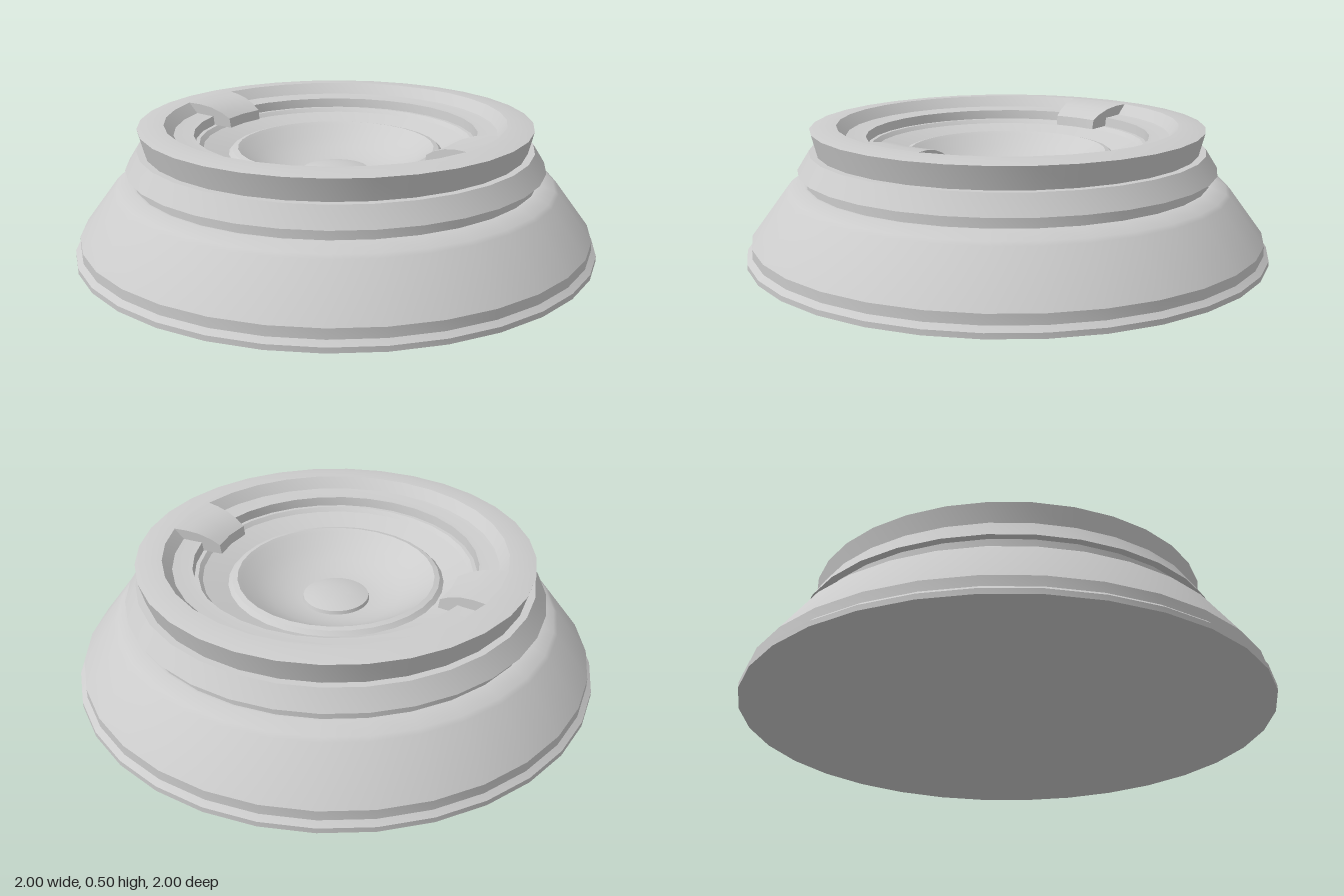
import * as THREE from 'three';
import { toCreasedNormals } from 'three/addons/utils/BufferGeometryUtils.js';

const SEGMENTS = 32;
const STEP = (Math.PI * 2) / SEGMENTS;
const material = new THREE.MeshStandardMaterial({ color: 0xcccccc });
const thinMaterial = new THREE.MeshStandardMaterial({ color: 0xcccccc, side: THREE.DoubleSide });

const points = (list) => list.map(([r, y]) => new THREE.Vector2(r, y));

function turned(name, profile) {
  const geometry = new THREE.LatheGeometry(points(profile), SEGMENTS);
  const mesh = new THREE.Mesh(toCreasedNormals(geometry, 0.42), material);
  mesh.name = name;
  return mesh;
}

// Curved wedge reaching inward from the rim, two lathe segments wide
function lockingTab(name, angle) {
  const profile = points([
    [0.46, 0.41], [0.60, 0.42], [0.65, 0.44], [0.65, 0.495],
    [0.60, 0.493], [0.55, 0.485], [0.50, 0.467], [0.466, 0.447], [0.46, 0.41],
  ]);
  const tab = new THREE.Group();
  tab.name = name;
  const skin = new THREE.LatheGeometry(profile, 2, -STEP, STEP * 2);
  tab.add(new THREE.Mesh(toCreasedNormals(skin, 0.42), thinMaterial));
  for (const side of [-1, 1]) {
    const cheek = new THREE.Mesh(new THREE.ShapeGeometry(new THREE.Shape(profile)), thinMaterial);
    cheek.rotation.y = side * STEP - Math.PI / 2;
    tab.add(cheek);
  }
  tab.rotation.y = angle;
  return tab;
}

export function createModel() {
  const model = new THREE.Group();
  model.name = 'roundBase';

  // Foot, sloping skirt, neck, collar and stepped inner seat in one turned body
  model.add(turned('body', [
    [0, 0], [1, 0], [1, 0.02], [0.98, 0.037], [0.98, 0.075],
    [0.85, 0.25], [0.835, 0.262], [0.78, 0.285], [0.77, 0.285], [0.77, 0.328],
    [0.80, 0.328], [0.755, 0.40], [0.728, 0.40], [0.75, 0.485],
    [0.70, 0.494], [0.65, 0.495], [0.615, 0.455], [0.56, 0.45], [0.54, 0.45],
    [0.535, 0.415], [0.52, 0.415], [0.505, 0.40], [0.41, 0.37],
    [0.395, 0.385], [0.375, 0.39], [0.36, 0.38],
    [0.31, 0.345], [0.25, 0.315], [0.19, 0.295], [0.135, 0.285], [0, 0.285],
  ]));

  // Low domed button in the middle of the dish
  model.add(turned('centreButton', [
    [0.13, 0.28], [0.125, 0.298], [0.09, 0.307], [0.05, 0.312], [0, 0.314],
  ]));

  model.add(lockingTab('frontTab', 0), lockingTab('backTab', Math.PI));
  return model;
}
